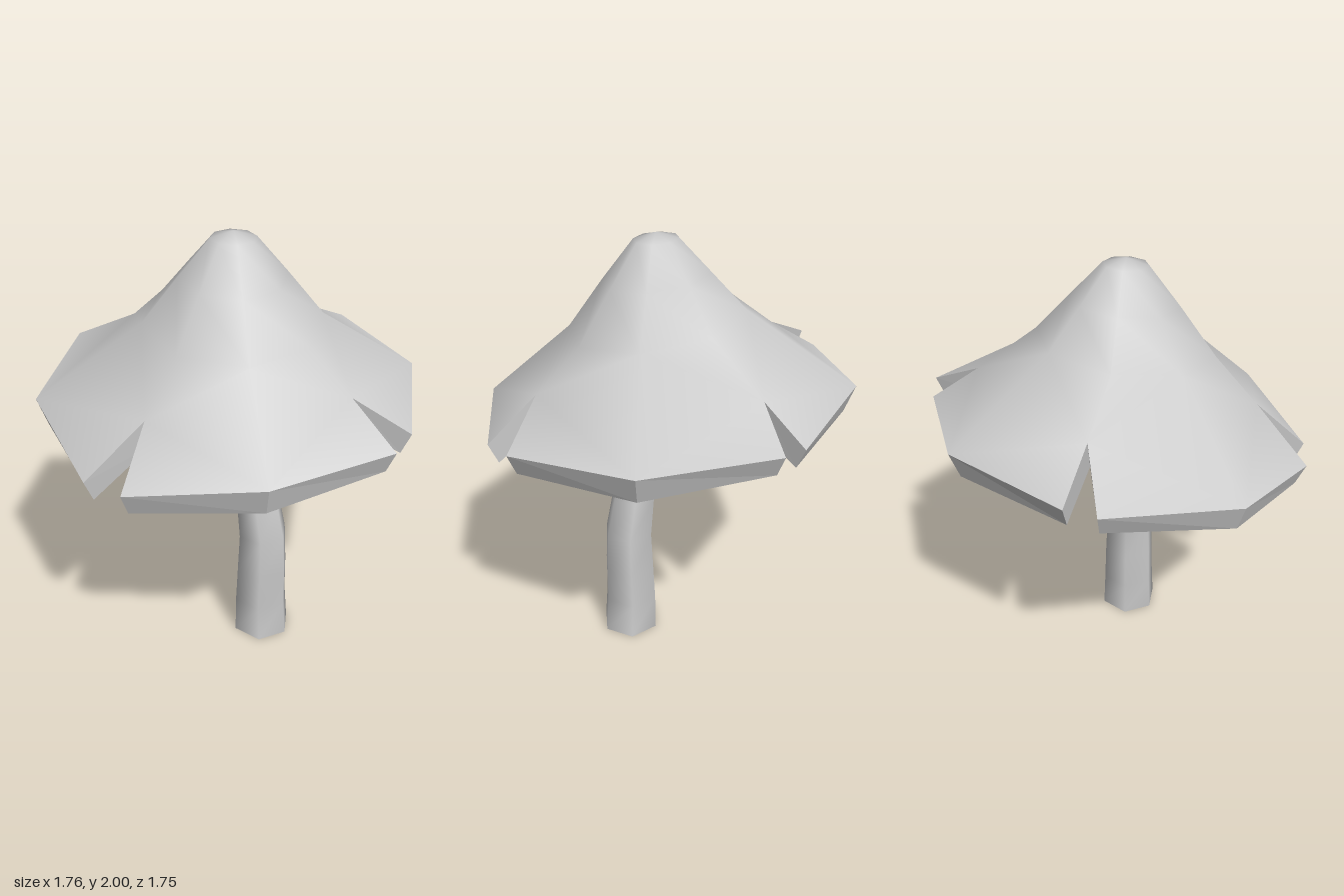
import * as THREE from 'three';

const material = new THREE.MeshStandardMaterial({ color: 0xcccccc });

function makeMesh(name, points, index, flat = false) {
  let geo = new THREE.BufferGeometry();
  geo.setAttribute('position', new THREE.Float32BufferAttribute(points.flat(), 3));
  geo.setIndex(index);
  if (flat) geo = geo.toNonIndexed();
  geo.computeVertexNormals();
  const mesh = new THREE.Mesh(geo, material);
  mesh.name = name;
  return mesh;
}

// Cap rim: per quarter, a corner beside each split and one on the diagonal
const RIM = [
  [0.09, 1.14, 0.86], [0.605, 1.215, 0.58], [0.88, 1.235, 0.065],
  [0.87, 1.25, -0.09], [0.6, 1.305, -0.625], [0.075, 1.345, -0.875],
  [-0.06, 1.32, -0.845], [-0.585, 1.357, -0.6], [-0.83, 1.31, -0.075],
  [-0.885, 1.325, 0.07], [-0.63, 1.255, 0.615], [-0.1, 1.14, 0.87],
];
// Inner ends of the four splits
const TIPS = [[0.03, 1.36, 0.63], [0.65, 1.41, 0.045], [-0.015, 1.46, -0.635], [-0.59, 1.47, -0.02]];
// Crown rings: radius, height, tilt
const RINGS = [[0.1, 1.973, 0.04], [0.24, 1.81, 0.08], [0.4, 1.615, 0.105]];
const CX = 0.04, CZ = 0.035;

// Point numbering: apex, three rings of eight, four tips, twelve rim corners
const ring = (r, k) => 1 + r * 8 + (k % 8);
const tip = (q) => 25 + (q % 4);
const rim = (q, j) => 29 + q * 3 + j;

function capPoints() {
  const pts = [[CX, 2, CZ]];
  for (const [r, y, tilt] of RINGS) {
    for (let k = 0; k < 8; k++) {
      const dx = r * Math.sin(k * Math.PI / 4), dz = r * Math.cos(k * Math.PI / 4);
      pts.push([CX + dx, y - tilt * (dx + dz), CZ + dz]);
    }
  }
  return [...pts, ...TIPS, ...RIM];
}

// Underside follows the top, moved down and in
function underPoints(top) {
  return top.map(([x, y, z], i) => {
    let scale = 0.95, drop = 0.13;
    if (i < 25) { scale = 0.88; drop = 0.14; }
    else if (i >= 29) drop = (i - 29) % 3 === 1 ? 0.125 : 0.1;
    return [CX + (x - CX) * scale, y - drop, CZ + (z - CZ) * scale];
  });
}

function capFaces() {
  const f = [];
  for (let k = 0; k < 8; k++) {
    f.push(0, ring(0, k), ring(0, k + 1));
    for (let r = 0; r < 2; r++) {
      const a = ring(r, k), b = ring(r + 1, k), c = ring(r + 1, k + 1), d = ring(r, k + 1);
      f.push(a, b, c, a, c, d);
    }
  }
  for (let q = 0; q < 4; q++) {
    const kA = ring(2, q * 2), kD = ring(2, q * 2 + 1), kB = ring(2, q * 2 + 2);
    const tA = tip(q), tB = tip(q + 1), [rA, rD, rB] = [0, 1, 2].map((j) => rim(q, j));
    f.push(kA, tA, kD, tA, rA, rD, tA, rD, kD);
    f.push(kD, rD, tB, rD, rB, tB, kD, tB, kB);
  }
  return f;
}

function createCap() {
  const cap = new THREE.Group();
  cap.name = 'cap';
  const top = capPoints(), under = underPoints(top), faces = capFaces();
  const flipped = [];
  for (let i = 0; i < faces.length; i += 3) flipped.push(faces[i], faces[i + 2], faces[i + 1]);

  // Edge band around each quarter, including the split walls
  const edge = [], n = top.length;
  for (let q = 0; q < 4; q++) {
    const path = [tip(q), rim(q, 0), rim(q, 1), rim(q, 2), tip(q + 1)];
    for (let i = 0; i < 4; i++) {
      const a = path[i], b = path[i + 1];
      edge.push(a, a + n, b + n, a, b + n, b);
    }
  }
  cap.add(
    makeMesh('capTop', top, faces),
    makeMesh('capUnderside', under, flipped),
    makeMesh('capEdge', [...top, ...under], edge, true),
  );
  return cap;
}

// Bent six-sided stem: centre x, height, radius
function createStem() {
  const stem = new THREE.Group();
  stem.name = 'stem';
  const sections = [
    [0.218, 0, 0.143], [0.211, 0.18, 0.135], [0.215, 0.36, 0.13], [0.215, 0.56, 0.12],
    [0.183, 0.75, 0.108], [0.138, 0.93, 0.095], [0.095, 1.1, 0.092], [0.06, 1.3, 0.09], [0.04, 1.8, 0.08],
  ];
  const pts = [], index = [];
  sections.forEach(([x, y, r], s) => {
    for (let k = 0; k < 6; k++) {
      const a = k * Math.PI / 3;
      pts.push([x + r * Math.cos(a), y, 0.035 - r * Math.sin(a)]);
      if (s === 0) continue;
      const lo = (s - 1) * 6, hi = s * 6, j = (k + 1) % 6;
      index.push(lo + k, lo + j, hi + j, lo + k, hi + j, hi + k);
    }
  });
  const base = new THREE.Mesh(new THREE.CircleGeometry(0.143, 6), material);
  base.rotation.x = Math.PI / 2;
  base.position.set(0.218, 0, 0.035);
  base.name = 'stemBase';
  stem.add(makeMesh('stemSide', pts, index), base);
  return stem;
}

export function createModel() {
  const model = new THREE.Group();
  model.name = 'mushroom';
  model.add(createCap(), createStem());
  return model;
}
